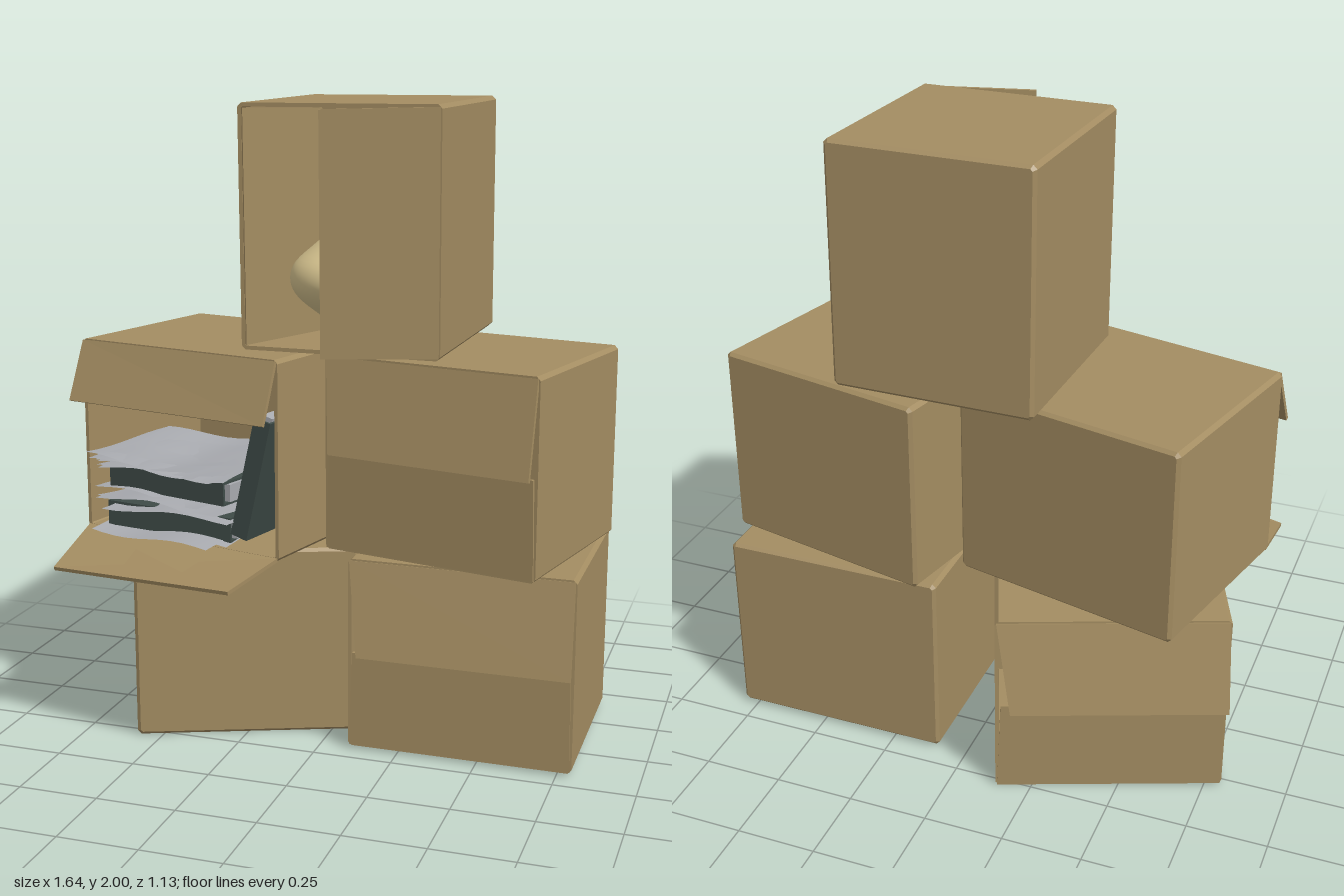
import * as THREE from 'three';

const material = (color) => new THREE.MeshStandardMaterial({ color, side: THREE.DoubleSide });
const cardboard = material(0xa48d62), cover = material(0x3f4c48), paper = material(0xa9abb0), ceramic = material(0xd9c691);
const T = 0.012; // cardboard thickness

function add(parent, name, geometry, mat, x = 0, y = 0, z = 0) {
  const mesh = new THREE.Mesh(geometry, mat);
  mesh.name = name;
  mesh.position.set(x, y, z);
  parent.add(mesh);
  return mesh;
}

// Thin four-cornered board; corners run around the outline
function panel(parent, name, corners) {
  const p = corners.map((c) => new THREE.Vector3(...c));
  const n = p[1].clone().sub(p[0]).cross(p[3].clone().sub(p[0])).normalize().multiplyScalar(T / 2);
  const a = p.map((v) => v.clone().add(n)), b = p.map((v) => v.clone().sub(n));
  const out = [];
  const quad = (i, j, k, l) => [i, j, k, i, k, l].forEach((v) => out.push(v));
  quad(...a);
  quad(b[3], b[2], b[1], b[0]);
  for (let i = 0; i < 4; i++) {
    const j = (i + 1) % 4;
    quad(a[i], b[i], b[j], a[j]);
  }
  const geometry = new THREE.BufferGeometry().setFromPoints(out);
  geometry.computeVertexNormals();
  return add(parent, name, geometry, cardboard);
}

function chamferedRect(w, h, c, Type = THREE.Shape) {
  const x = w / 2, y = h / 2;
  return new Type([[-x + c, -y], [x - c, -y], [x, -y + c], [x, y - c], [x - c, y], [-x + c, y], [-x, y - c], [-x, -y + c]]
    .map(([u, v]) => new THREE.Vector2(u, v)));
}

// Carton open towards +z, standing on its own y = 0
function carton(parent, name, w, h, d, position, turn) {
  const box = new THREE.Group();
  box.name = name;
  box.position.set(...position);
  box.rotation.y = turn;
  parent.add(box);
  const frame = chamferedRect(w, h, 0.012);
  frame.holes.push(chamferedRect(w - 2 * T, h - 2 * T, 0.004, THREE.Path));
  add(box, 'walls', new THREE.ExtrudeGeometry(frame, { depth: d - T, bevelEnabled: false }), cardboard, 0, h / 2, -d / 2 + T);
  const back = new THREE.ExtrudeGeometry(chamferedRect(w, h, 0.012), {
    depth: 0.002, bevelThickness: 0.01, bevelSize: 0.01, bevelOffset: -0.01, bevelSegments: 1,
  });
  add(box, 'backWall', back, cardboard, 0, h / 2, -d / 2 + 0.01);
  return box;
}

// Carton with its lower flap shut and its upper flap hanging ajar
function ajarCarton(parent, name, position, turn) {
  const w = 0.705, h = 0.61, d = 0.61, x = w / 2 - 0.005, z = d / 2;
  const box = carton(parent, name, w, h, d, position, turn);
  panel(box, 'lowerFlap', [[-x, 0.006, z], [x, 0.006, z], [x - 0.006, h / 2 + 0.005, z + 0.004], [-x + 0.012, h / 2 + 0.005, z + 0.004]]);
  panel(box, 'upperFlap', [[-x, h - 0.006, z], [-x + 0.04, 0.315, z + 0.06], [x + 0.004, 0.315, z + 0.06], [x, h - 0.006, z]]);
}

// Wavy loose sheet
function sheet(parent, w, d, x, y, z, turn, phase) {
  const g = new THREE.PlaneGeometry(w, d, 10, 8).rotateX(-Math.PI / 2);
  const p = g.attributes.position;
  for (let i = 0; i < p.count; i++) {
    p.setY(i, 0.009 * Math.sin(p.getX(i) * 14 + phase) + 0.008 * Math.cos(p.getZ(i) * 11 + phase * 2));
  }
  g.computeVertexNormals();
  add(parent, 'looseSheet', g, paper, x, y, z).rotation.y = turn;
}

// Binder with its spine towards +z
function binder(parent, w, h, d, x, y, z, turn = 0, lean = 0) {
  const g = new THREE.Group();
  g.name = 'binder';
  g.position.set(x, y, z);
  g.rotation.set(0, turn, lean);
  parent.add(g);
  for (const s of [-1, 1]) add(g, 'cover', new THREE.BoxGeometry(w, 0.008, d), cover, 0, s * (h / 2 - 0.004), 0);
  add(g, 'spine', new THREE.BoxGeometry(w, h, 0.008), cover, 0, 0, d / 2);
  add(g, 'pages', new THREE.BoxGeometry(w, h - 0.02, d - 0.03), paper, 0.008, 0, -0.005);
}

export function createModel() {
  const model = new THREE.Group();
  model.name = 'cartonStack';

  // Three cartons standing ajar
  ajarCarton(model, 'lowerLeftCarton', [0.443, 0.012, -0.125], 0);
  ajarCarton(model, 'lowerRightCarton', [-0.36, 0.003, -0.116], Math.PI + 0.375);
  ajarCarton(model, 'middleLeftCarton', [0.41, 0.63, -0.1], -0.22);

  // Open carton with binders and papers
  const open = carton(model, 'openCarton', 0.74, 0.62, 0.62, [-0.377, 0.628, -0.088], -0.238);
  panel(open, 'upperFlap', [[-0.365, 0.615, 0.31], [-0.365, 0.432, 0.385], [0.365, 0.432, 0.38], [0.365, 0.615, 0.31]]);
  panel(open, 'lowerFlap', [[-0.365, 0.006, 0.31], [0.365, 0.006, 0.31], [0.365, -0.025, 0.57], [-0.295, -0.06, 0.57]]);
  binder(open, 0.46, 0.08, 0.36, -0.07, 0.06, 0.11, 0.06);
  binder(open, 0.46, 0.075, 0.36, -0.06, 0.18, 0.11, -0.04);
  binder(open, 0.39, 0.06, 0.34, 0.25, 0.235, 0.11, 0, 1.33);
  [0.022, 0.108, 0.218].forEach((base, k) => {
    const count = [2, 5, 8][k];
    for (let i = 0; i < count; i++) {
      const s = Math.sin(i * 2.4 + k * 1.7);
      sheet(open, 0.45, 0.37, -0.08 + 0.03 * s, base + i * 0.0065, 0.16 + 0.03 * Math.cos(i * 1.9 + k), 0.12 * s, i * 0.35 + k);
    }
  });

  // Upper carton with side flaps
  const top = carton(model, 'topCarton', 0.625, 0.737, 0.635, [0.068, 1.256, -0.14], -0.024);
  top.rotation.x = 0.018;
  panel(top, 'outerFlap', [[0.308, 0.008, 0.318], [0.308, 0.73, 0.318], [-0.02, 0.725, 0.425], [-0.02, 0.008, 0.425]]);
  panel(top, 'innerFlap', [[-0.302, 0.014, 0.315], [-0.302, 0.722, 0.315], [-0.155, 0.71, 0.03], [-0.155, 0.02, 0.03]]);

  // Slender-necked vase inside it
  const profile = [[0, 0], [0.07, 0], [0.075, 0.012], [0.062, 0.03], [0.13, 0.08], [0.19, 0.13], [0.215, 0.18], [0.2, 0.235],
    [0.14, 0.29], [0.085, 0.34], [0.052, 0.41], [0.036, 0.5], [0.033, 0.56], [0.06, 0.595], [0.06, 0.61], [0.045, 0.608], [0.022, 0.56], [0.022, 0.45]];
  const curve = new THREE.SplineCurve(profile.slice(3, 13).map(([r, y]) => new THREE.Vector2(r, y))).getPoints(40);
  const outline = [...profile.slice(0, 3).map(([r, y]) => new THREE.Vector2(r, y)), ...curve,
    ...profile.slice(13).map(([r, y]) => new THREE.Vector2(r, y))];
  add(top, 'vase', new THREE.LatheGeometry(outline, 40), ceramic, -0.01, 0.013, 0.09);
  return model;
}
